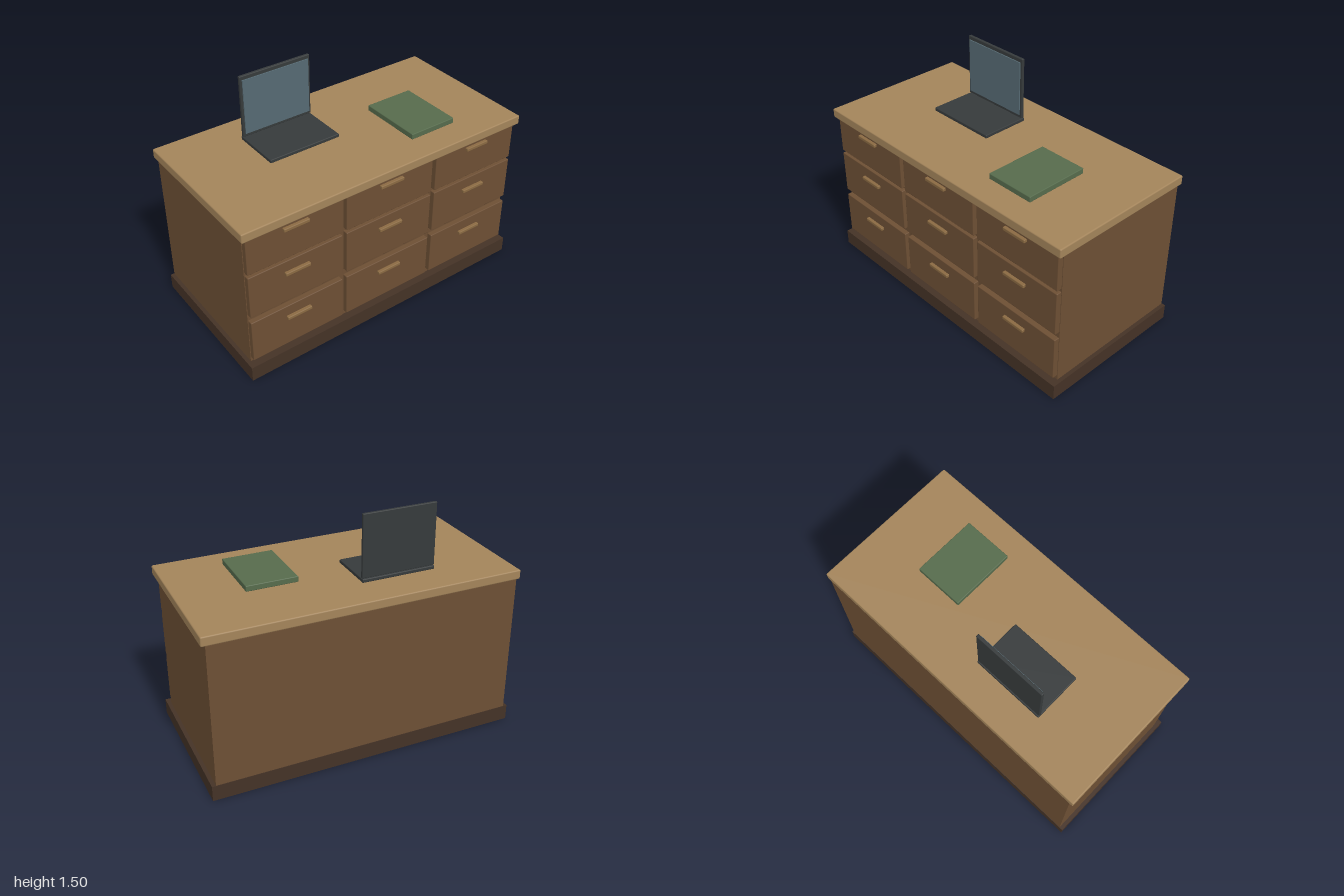
import * as THREE from 'three';
import { RoundedBoxGeometry } from 'three/addons/geometries/RoundedBoxGeometry.js';

const material = (color) => new THREE.MeshStandardMaterial({ color });

// Box given by its [min, max] extents per axis, with an optional edge radius
function box(name, mat, [x0, x1], [y0, y1], [z0, z1], radius = 0) {
  const size = [x1 - x0, y1 - y0, z1 - z0];
  const geometry = radius
    ? new RoundedBoxGeometry(...size, 2, radius)
    : new THREE.BoxGeometry(...size);
  const mesh = new THREE.Mesh(geometry, mat);
  mesh.name = name;
  mesh.position.set((x0 + x1) / 2, (y0 + y1) / 2, (z0 + z1) / 2);
  return mesh;
}

export function createModel() {
  const model = new THREE.Group();
  model.name = 'drawerDesk';

  const wood = material(0x6d4f34);
  const lightWood = material(0xa3845a);
  const darkWood = material(0x443226);
  const handleWood = material(0x8a6a42);
  const casing = material(0x363a3b);
  const glass = material(0x566a73);
  const cover = material(0x566b4c);

  // Cabinet
  model.add(
    box('plinth', darkWood, [-1, 1], [0, 0.1], [-0.5, 0.5]),
    box('cabinet', wood, [-0.975, 0.975], [0.1, 1.01], [-0.497, 0.447]),
    box('desktop', lightWood, [-1, 1], [1.01, 1.07], [-0.5, 0.5], 0.008),
  );

  // Drawers: three columns by three rows, the top row tucked under the desktop
  const rows = [[0.13, 0.418], [0.459, 0.747], [0.767, 1.03]];
  for (const x of [-0.657, 0, 0.657]) {
    for (const [bottom, top] of rows) {
      const drawer = new THREE.Group();
      drawer.name = 'drawer';
      const handleY = bottom + 0.207;
      drawer.add(
        box('drawerFront', wood, [x - 0.314, x + 0.314], [bottom, top], [0.44, 0.48], 0.005),
        box('drawerHandle', handleWood, [x - 0.083, x + 0.083],
          [handleY - 0.011, handleY + 0.011], [0.475, 0.5], 0.005),
      );
      model.add(drawer);
    }
  }

  // Open laptop
  const laptop = new THREE.Group();
  laptop.name = 'laptop';
  laptop.add(
    box('laptopBase', casing, [-0.53, -0.05], [1.074, 1.097], [-0.276, 0.045], 0.005),
    box('laptopLid', casing, [-0.53, -0.05], [1.1, 1.5], [-0.27, -0.25], 0.005),
    box('laptopScreen', glass, [-0.515, -0.065], [1.122, 1.476], [-0.255, -0.243]),
  );
  model.add(laptop);

  // Book
  model.add(box('book', cover, [0.28, 0.605], [1.073, 1.11], [-0.1, 0.326], 0.005));

  return model;
}
